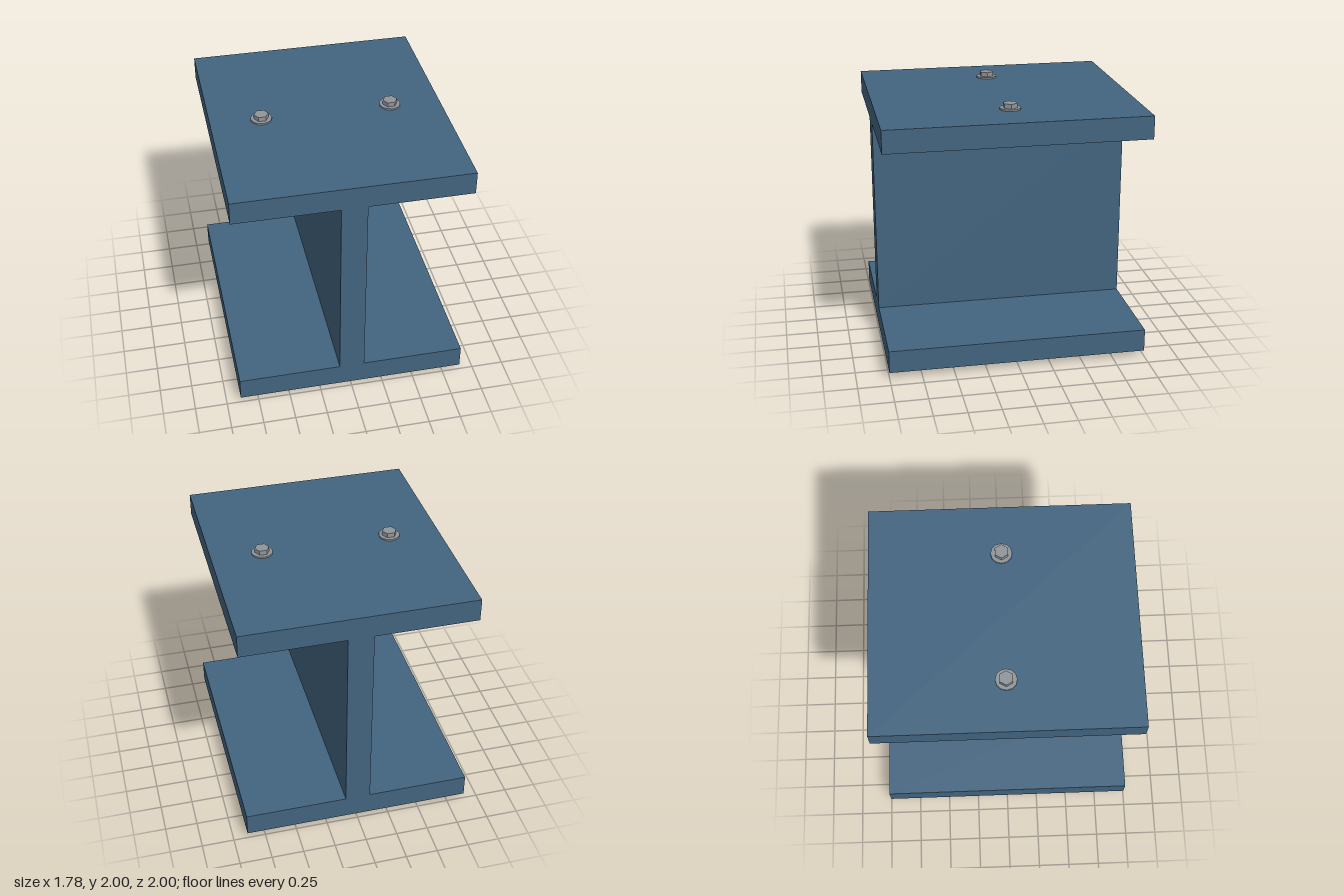
import * as THREE from 'three';

const HALF_WIDTH = 0.89, HALF_WEB = 0.098, BOTTOM = 0.047, FLANGE = 0.178;

export function createModel() {
  const paint = new THREE.MeshStandardMaterial({ name: 'blue steel', color: 0x42647f });
  const zinc = new THREE.MeshStandardMaterial({ name: 'grey bolt steel', color: 0x90959a, flatShading: true });
  const model = new THREE.Group();
  model.name = 'boltedBeam';

  // I-shaped profile, extruded along z
  const top = 2 - BOTTOM, low = BOTTOM + FLANGE, high = top - FLANGE;
  const right = [
    [HALF_WIDTH, BOTTOM], [HALF_WIDTH, low], [HALF_WEB, low],
    [HALF_WEB, high], [HALF_WIDTH, high], [HALF_WIDTH, top],
  ];
  const left = right.map(([x, y]) => [-x, y]).reverse();
  const profile = new THREE.Shape([...right, ...left].map(([x, y]) => new THREE.Vector2(x, y)));
  const beamGeometry = new THREE.ExtrudeGeometry(profile, { depth: 2, bevelEnabled: false });
  beamGeometry.translate(0, 0, -1);
  const beam = new THREE.Mesh(beamGeometry, paint);
  beam.name = 'beam';
  model.add(beam);

  // Washer and hex head, resting on y = 0 and pointing up
  const washerHeight = 0.012;
  const headHeight = BOTTOM - washerHeight;
  const washerGeometry = new THREE.CylinderGeometry(0.082, 0.082, washerHeight, 12);
  washerGeometry.translate(0, washerHeight / 2, 0);
  const headGeometry = new THREE.CylinderGeometry(0.056, 0.056, headHeight, 6);
  headGeometry.rotateY(Math.PI / 6);
  headGeometry.translate(0, washerHeight + headHeight / 2, 0);

  // Two bolts on each flange; the lower ones are turned upside down
  for (const x of [-0.5, 0.5]) {
    for (const upper of [true, false]) {
      const bolt = new THREE.Group();
      bolt.name = upper ? 'upperBolt' : 'lowerBolt';
      const washer = new THREE.Mesh(washerGeometry, zinc);
      washer.name = 'washer';
      const head = new THREE.Mesh(headGeometry, zinc);
      head.name = 'hexHead';
      bolt.add(washer, head);
      bolt.position.set(x, upper ? top : BOTTOM, 0);
      if (!upper) bolt.rotation.x = Math.PI;
      model.add(bolt);
    }
  }
  return model;
}
